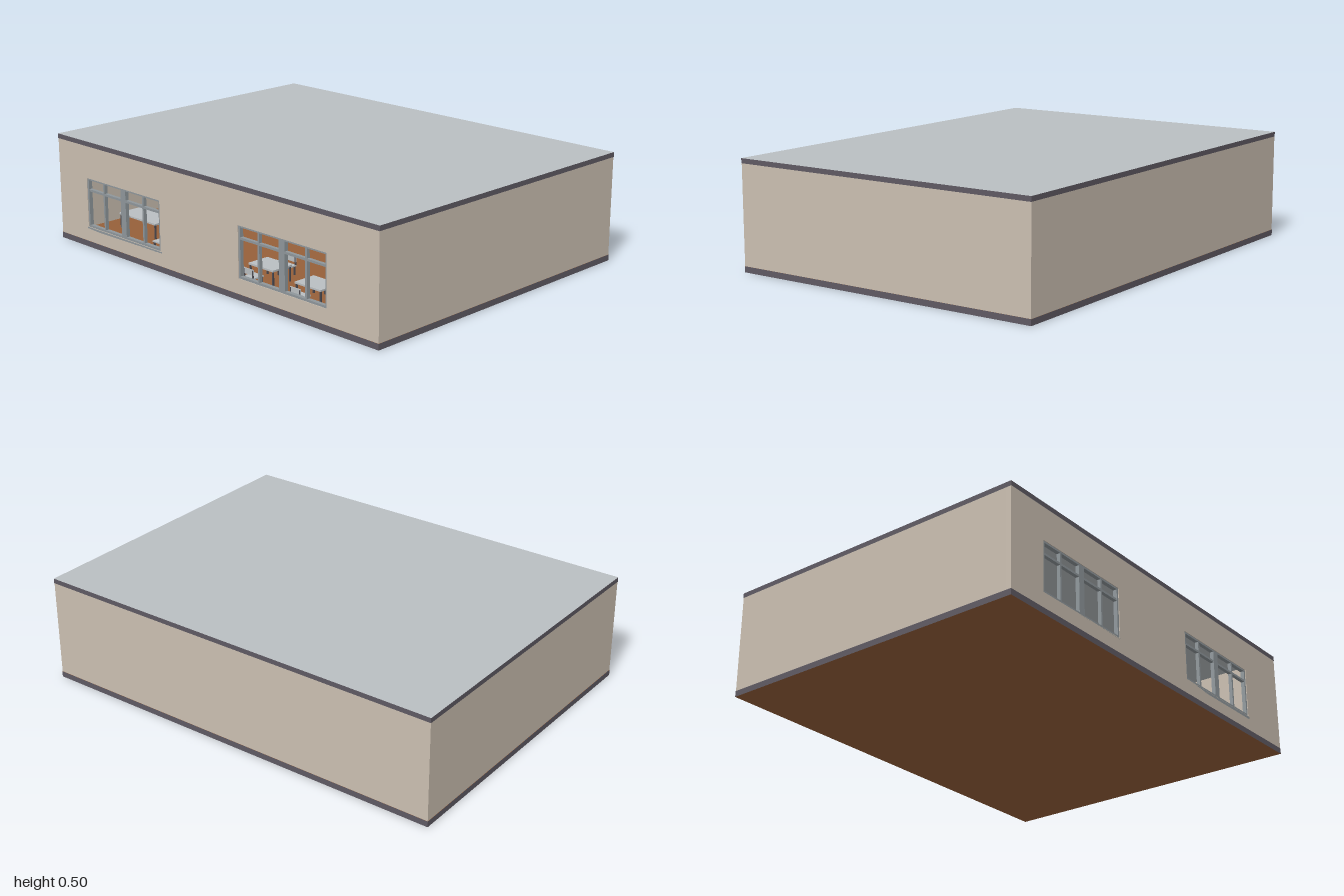
import * as THREE from 'three';

const mat = (name, color) => new THREE.MeshStandardMaterial({ name, color });

export function createModel() {
  const M = {
    wall: mat('beige wall', 0xcbbfb1),
    trim: mat('dark slab edge', 0x5f5a63),
    roof: mat('pale grey', 0xbabfc2),
    floor: mat('brown floor', 0x97603a),
    frame: mat('grey frame', 0x8f979b),
    panel: mat('taupe panel', 0x958e87),
    metal: mat('dark metal', 0x4c4b52),
  };
  const root = new THREE.Group();
  root.name = 'building';

  // box given by its centre and size
  const box = (parent, name, material, x, y, z, w, h, d) => {
    const m = new THREE.Mesh(new THREE.BoxGeometry(w, h, d), material);
    m.name = name;
    m.position.set(x, y, z);
    parent.add(m);
    return m;
  };
  const group = (name, x = 0, y = 0, z = 0) => {
    const g = new THREE.Group();
    g.name = name;
    g.position.set(x, y, z);
    root.add(g);
    return g;
  };

  // floor and roof slabs with dark edges
  const faces = (cap) => [M.trim, M.trim, cap, cap, M.trim, M.trim];
  box(root, 'floorSlab', faces(M.floor), 0, 0.0135, 0, 2, 0.027, 1.5);
  box(root, 'roofSlab', faces(M.roof), 0, 0.486, 0, 2, 0.022, 1.5);

  // outer walls
  const t = 0.025, y0 = 0.027, y1 = 0.475, h = y1 - y0, yc = (y0 + y1) / 2;
  box(root, 'backWall', M.wall, 0, yc, -0.749 + t / 2, 1.998, h, t);
  for (const s of [1, -1])
    box(root, 'sideWall', M.wall, s * (0.999 - t / 2), yc, 0, t, h, 1.498 - 2 * t);

  // front wall with two window openings
  const win = { w: 0.51, bottom: 0.095, top: 0.325 };
  const centres = [-0.543, 0.467];
  const outline = (x0, b, x1, c) => [[x0, b], [x1, b], [x1, c], [x0, c]].map((p) => new THREE.Vector2(...p));
  const shape = new THREE.Shape(outline(-0.999, y0, 0.999, y1));
  for (const c of centres)
    shape.holes.push(new THREE.Path(outline(c - win.w / 2, win.bottom, c + win.w / 2, win.top)));
  const front = new THREE.Mesh(new THREE.ExtrudeGeometry(shape, { depth: t, bevelEnabled: false }), M.wall);
  front.name = 'frontWall';
  front.position.z = 0.749 - t;
  root.add(front);

  // window frames: posts, transom, rails and sill
  for (const c of centres) {
    const g = group('windowFrame', c, 0, 0.737);
    const mid = (win.bottom + win.top) / 2, wh = win.top - win.bottom;
    for (const s of [1, -1]) {
      box(g, 'jamb', M.frame, s * (win.w / 2 - 0.005), mid, 0, 0.01, wh, 0.018);
      box(g, 'post', M.frame, s * 0.137, mid, 0, 0.01, wh, 0.016);
    }
    box(g, 'mullion', M.frame, 0, mid, 0, 0.034, wh, 0.018);
    box(g, 'transom', M.frame, 0, 0.269, 0, win.w, 0.01, 0.016);
    box(g, 'topRail', M.frame, 0, win.top - 0.004, 0, win.w, 0.008, 0.018);
    box(g, 'bottomRail', M.frame, 0, 0.1, 0, win.w, 0.01, 0.018);
    box(g, 'sill', M.frame, 0, 0.088, 0.002, win.w + 0.016, 0.012, 0.02);
  }

  // partitions at the back, each between two dark columns
  for (const c of [-0.565, 0.575]) {
    const g = group('partition', c, 0, -0.4);
    for (const s of [1, -1])
      box(g, 'column', M.trim, s * 0.145, yc, 0, 0.03, h, 0.03);
    box(g, 'lowerPanel', M.panel, 0, 0.147, 0, 0.26, 0.24, 0.02);
    box(g, 'upperPanel', M.roof, 0, 0.371, 0, 0.26, 0.208, 0.02);
    for (const x of [-0.07, 0.06]) {
      const seat = new THREE.Mesh(new THREE.CylinderGeometry(0.034, 0.034, 0.008, 24), M.roof);
      seat.name = 'roundPlate';
      seat.rotation.x = Math.PI / 2;
      seat.position.set(x, 0.18, 0.016);
      g.add(seat);
    }
  }

  // four-legged furniture
  const legs = (g, w, d, top) => {
    for (const sx of [1, -1]) for (const sz of [1, -1])
      box(g, 'leg', M.metal, sx * (w / 2 - 0.006), top / 2, sz * (d / 2 - 0.006), 0.007, top, 0.007);
  };
  const table = (x, z, w, d) => {
    const g = group('table', x, y0, z);
    box(g, 'tableTop', M.roof, 0, 0.07, 0, w, 0.008, d);
    legs(g, w, d, 0.067);
  };
  const chair = (x, z, turn) => {
    const g = group('chair', x, y0, z);
    g.rotation.y = turn;
    box(g, 'seat', M.roof, 0, 0.042, 0, 0.06, 0.006, 0.06);
    box(g, 'backrest', M.roof, 0, 0.07, -0.028, 0.06, 0.025, 0.005);
    for (const s of [1, -1]) box(g, 'backPost', M.metal, s * 0.026, 0.06, -0.028, 0.006, 0.04, 0.006);
    legs(g, 0.06, 0.06, 0.04);
  };
  table(-0.73, 0.45, 0.26, 0.15);
  chair(-0.46, 0.6, -Math.PI / 2);
  for (const [x, z] of [[0.18, 0.54], [0.49, 0.57], [0.78, 0.54]]) {
    table(x, z, 0.15, 0.11);
    chair(x, z + 0.095, Math.PI);
    chair(x, z - 0.095, 0);
  }

  // ceiling lamps
  for (const x of [-0.35, 0.29]) {
    const g = group('ceilingLamp', x, 0, 0.1);
    box(g, 'rod', M.metal, 0, 0.4, 0, 0.006, 0.15, 0.006);
    box(g, 'shade', M.frame, 0, 0.315, 0, 0.12, 0.02, 0.12);
  }
  return root;
}
